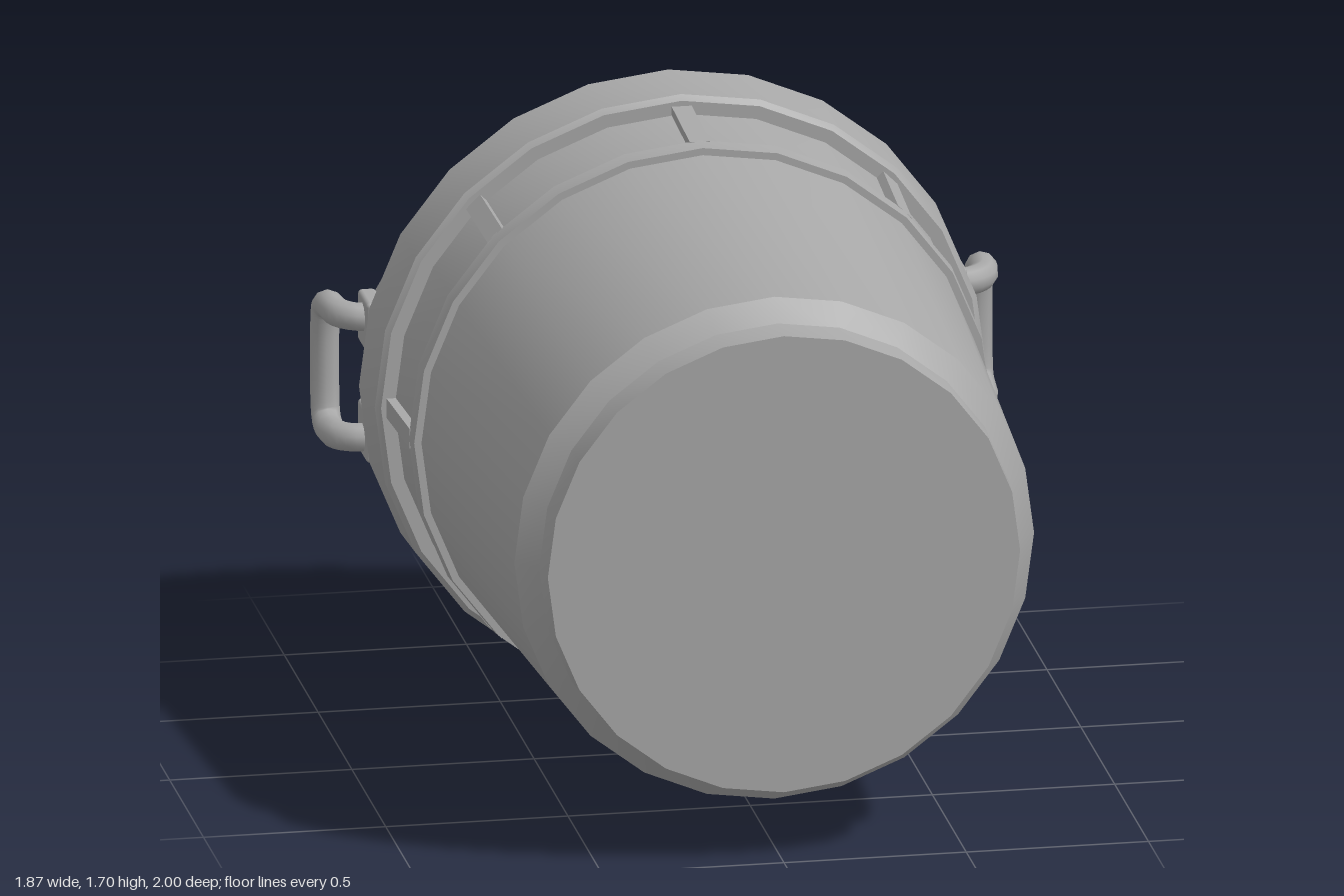
import * as THREE from 'three';
import { toCreasedNormals } from 'three/addons/utils/BufferGeometryUtils.js';
import { RoundedBoxGeometry } from 'three/addons/geometries/RoundedBoxGeometry.js';

const grey = new THREE.MeshStandardMaterial({ color: 0xa8a8a8 });
grey.name = 'grey';

function add(parent, name, geometry) {
  const mesh = new THREE.Mesh(geometry, grey);
  mesh.name = name;
  parent.add(mesh);
  return mesh;
}

// 24-sided lathe whose axis lies along z; profile points are [radius, z]
function latheZ(profile) {
  const points = profile.map(([r, z]) => new THREE.Vector2(r, z));
  return new THREE.LatheGeometry(points, 24).rotateX(Math.PI / 2);
}

export function createModel() {
  const model = new THREE.Group();
  model.name = 'bucket';
  const bucket = new THREE.Group();
  bucket.name = 'lyingBucket';
  bucket.position.y = 0.848;
  model.add(bucket);

  // Shell: inner wall, lip, collar, band, tapering wall, foot and base
  const shell = latheZ([
    [0.745, -0.40], [0.77, -0.80], [0.802, -0.80], [0.806, -0.73],
    [0.836, -0.73], [0.848, -0.715], [0.84, -0.525], [0.825, -0.512], [0.788, -0.512],
    [0.775, -0.25], [0.798, -0.25], [0.792, -0.20], [0.772, -0.20],
    [0.713, 0.855], [0.655, 0.91], [0.648, 1.0], [0, 1.0],
  ]);
  // The lip rises at both sides to carry the handles
  const p = shell.attributes.position;
  for (let i = 0; i < p.count; i++) {
    if (p.getZ(i) > -0.79) continue;
    const rise = THREE.MathUtils.clamp((0.385 - Math.abs(p.getY(i))) / 0.17, 0, 1);
    p.setZ(i, p.getZ(i) - 0.085 * rise);
  }
  add(bucket, 'shell', toCreasedNormals(shell, 0.45));

  // Eight ribs between the band and the collar
  for (let i = 0; i < 8; i++) {
    const arm = new THREE.Group();
    arm.name = 'ribArm';
    arm.rotation.z = i * Math.PI / 4;
    const rib = add(arm, 'rib', new THREE.BoxGeometry(0.05, 0.055, 0.27));
    rib.position.set(0.778, 0, -0.38);
    rib.rotation.y = -0.05;
    bucket.add(arm);
  }

  // Contents: a low mound with four chunks
  add(bucket, 'contents', latheZ([[0, -0.53], [0.4, -0.49], [0.755, -0.44]]));
  const chunks = [
    // x, y, width, height, turn, tilt x, tilt y
    [0.145, 0.23, 0.22, 0.3, 0.25, 0.25, 0.2],
    [0.435, -0.05, 0.2, 0.17, 0.6, -0.2, 0.3],
    [-0.325, 0.0, 0.24, 0.24, -0.2, 0.15, -0.3],
    [-0.065, -0.325, 0.3, 0.22, 0.4, -0.3, 0.15],
  ];
  for (const [x, y, w, h, turn, tx, ty] of chunks) {
    const chunk = add(bucket, 'chunk', new RoundedBoxGeometry(w, h, 0.13, 2, 0.025));
    chunk.position.set(x, y, -0.52);
    chunk.rotation.set(tx, ty, turn);
  }

  // Handles with their brackets and inner plates
  for (const side of [1, -1]) {
    const handle = new THREE.Group();
    handle.name = side > 0 ? 'leftHandle' : 'rightHandle';
    const half = [
      [0.80, 0.17, -0.785], [0.85, 0.172, -0.795], [0.885, 0.174, -0.83],
      [0.896, 0.174, -0.90], [0.896, 0.155, -0.945], [0.896, 0.105, -0.96],
    ];
    const path = [...half, ...half.map(([x, y, z]) => [x, -y, z]).reverse()]
      .map(([x, y, z]) => new THREE.Vector3(side * x, y, z));
    const curve = new THREE.CatmullRomCurve3(path, false, 'centripetal');
    add(handle, 'grip', new THREE.TubeGeometry(curve, 40, 0.04, 10, false));
    for (const end of [1, -1]) {
      const bracket = add(handle, 'bracket', new RoundedBoxGeometry(0.05, 0.145, 0.14, 2, 0.012));
      bracket.position.set(side * 0.8, end * 0.155, -0.795);
    }
    const plate = add(handle, 'innerPlate', new RoundedBoxGeometry(0.04, 0.36, 0.13, 2, 0.012));
    plate.position.set(side * 0.762, 0, -0.755);
    bucket.add(handle);
  }
  return model;
}
